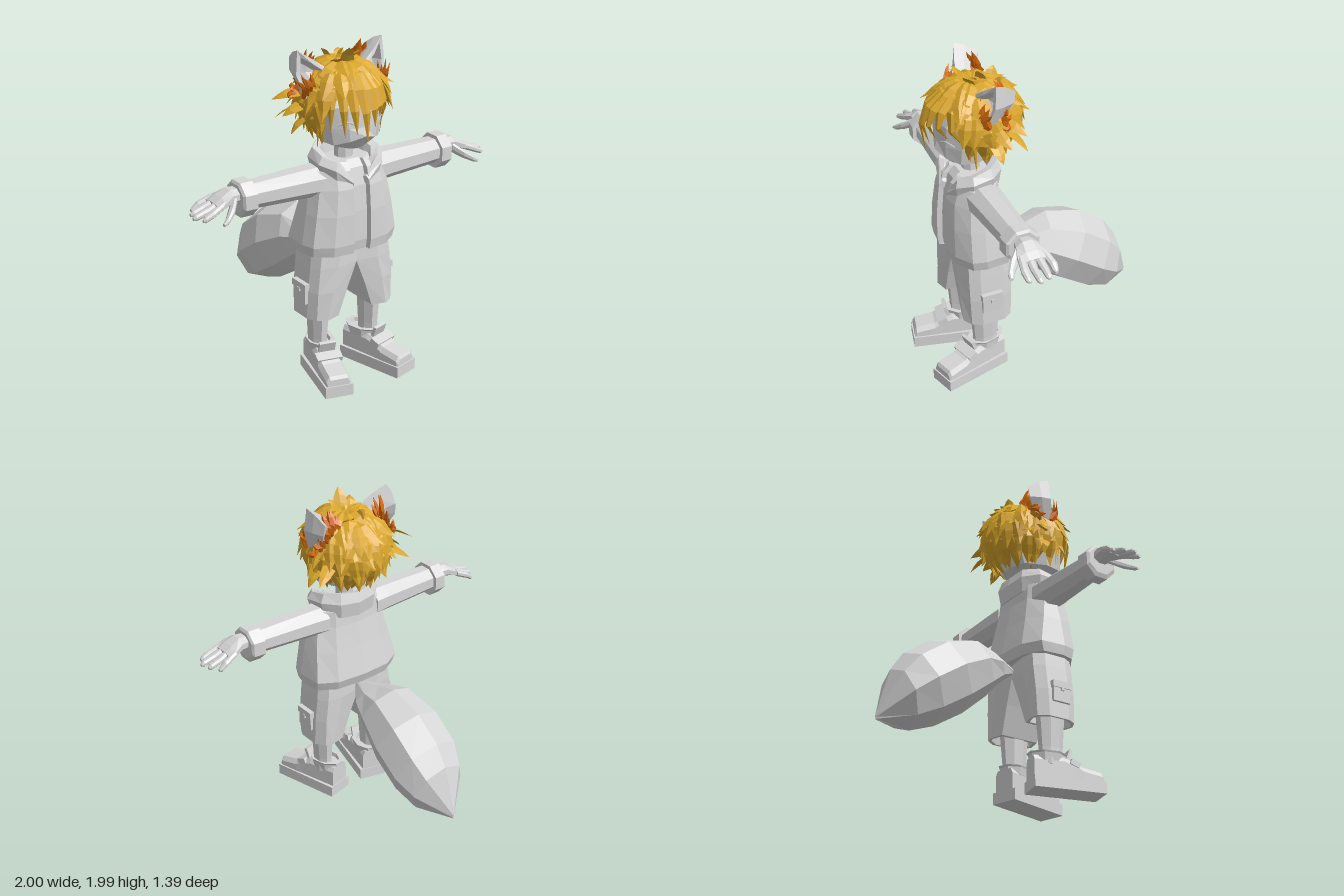
import * as THREE from 'three';
import { mergeGeometries } from 'three/addons/utils/BufferGeometryUtils.js';

const V = (x, y, z) => new THREE.Vector3(x, y, z);

// Flat-shaded skin over rings of [x,y,z] points, capped at both ends and turned outward.
function loft(rings) {
  const tris = [], n = rings[0].length;
  const mid = r => r.reduce((a, p) => a.map((v, i) => v + p[i] / n), [0, 0, 0]);
  for (let i = 0; i < rings.length - 1; i++) for (let j = 0; j < n; j++) {
    const k = (j + 1) % n, a = rings[i], b = rings[i + 1];
    tris.push([a[j], b[j], a[k]], [a[k], b[j], b[k]]);
  }
  const first = rings[0], last = rings[rings.length - 1], m0 = mid(first), m1 = mid(last);
  for (let j = 0; j < n; j++) {
    const k = (j + 1) % n;
    tris.push([m0, first[j], first[k]], [m1, last[k], last[j]]);
  }
  let vol = 0;
  for (const [a, b, c] of tris) {
    vol += V(...a).sub(V(...m0)).dot(V(...b).sub(V(...m0)).cross(V(...c).sub(V(...m0))));
  }
  const pos = tris.flatMap(([a, b, c]) => vol < 0 ? [...a, ...c, ...b] : [...a, ...b, ...c]);
  const g = new THREE.BufferGeometry();
  g.setAttribute('position', new THREE.Float32BufferAttribute(pos, 3));
  g.computeVertexNormals();
  return g;
}

// Polygon ring around c spanned by the vectors u and v
function ring(c, u, v, n = 8, turn = Math.PI / 8) {
  return Array.from({ length: n }, (_, i) => {
    const t = turn + i * 2 * Math.PI / n, co = Math.cos(t), si = Math.sin(t);
    return [0, 1, 2].map(k => c[k] + u[k] * co + v[k] * si);
  });
}
// Half outline completed by mirroring in x
const mirrorRing = half => [...half, ...half.slice(1, -1).reverse().map(([x, y, z]) => [-x, y, z])];

export function createModel() {
  const root = new THREE.Group();
  root.name = 'figure';
  const mat = (name, color, side = THREE.FrontSide) => new THREE.MeshStandardMaterial({ name, color, side });
  const grey = mat('light grey', 0xd6d6d6);
  const gold = mat('golden hair', 0xd9a62b, THREE.DoubleSide);
  const orange = mat('orange fur', 0xd4690c);
  const add = (name, geo, m = grey, parent = root) => {
    const mesh = new THREE.Mesh(geo, m);
    mesh.name = name;
    parent.add(mesh);
    return mesh;
  };
  const box = (name, w, h, d, x, y, z, parent = root) => {
    const b = add(name, new THREE.BoxGeometry(w, h, d), grey, parent);
    b.position.set(x, y, z);
    return b;
  };

  // Jacket with a recessed strip down the front: [y, half width, front z, back z]
  add('jacket', loft([
    [0.81, 0.30, 0.54, 0.17], [0.87, 0.31, 0.55, 0.15], [1.05, 0.28, 0.545, 0.19],
    [1.20, 0.25, 0.53, 0.22], [1.30, 0.24, 0.50, 0.23], [1.34, 0.15, 0.46, 0.26],
  ].map(([y, w, f, b]) => mirrorRing([
    [0, y, f - 0.03], [0.05, y, f - 0.03], [0.056, y, f], [0.6 * w, y, f - 0.015], [w * 0.93, y, f - 0.08],
    [w, y, f - 0.16], [w * 0.96, y, b + 0.08], [0.6 * w, y, b + 0.015], [0, y, b],
  ]))));

  // Folded hood collar, open in a V at the front: [x, z, bottom y, top y]
  const half = [[0.05, 0.52, 1.20, 1.25], [0.15, 0.50, 1.25, 1.36], [0.21, 0.42, 1.28, 1.385],
    [0.20, 0.30, 1.28, 1.41], [0.12, 0.22, 1.26, 1.415], [0, 0.205, 1.25, 1.40]];
  const collar = [...half, ...half.slice(0, -1).reverse().map(([x, ...r]) => [-x, ...r])];
  add('hoodCollar', loft(collar.map(([x, z, b, t]) => {
    const at = (s, y) => [x * s, y, 0.37 + (z - 0.37) * s];
    return [at(0.97, b), at(1.05, b * 0.4 + t * 0.6), at(0.92, t), at(0.72, t - 0.01), at(0.6, b + 0.02)];
  })));
  add('neck', loft([1.28, 1.46].map(y => ring([0, y, 0.35], [0.055, 0, 0], [0, 0, 0.055]))));

  // Head with a slanted jaw: [y, half width, front z, back z, lift of the front point]
  add('head', loft([
    [1.42, 0.09, 0.49, 0.28, 0], [1.46, 0.17, 0.55, 0.20, 0.05], [1.56, 0.19, 0.55, 0.16, 0],
    [1.68, 0.20, 0.545, 0.13, 0], [1.79, 0.15, 0.49, 0.18, 0], [1.85, 0.07, 0.4, 0.26, 0],
  ].map(([y, w, f, b, d]) => mirrorRing([
    [0, y + d, f + d * 0.3], [0.5 * w, y + d * 0.5, f - 0.015], [0.9 * w, y, f - 0.08], [w, y, (f + b) / 2],
    [0.7 * w, y, b + 0.04], [0, y, b],
  ]))));

  for (const s of [1, -1]) {
    const side = s > 0 ? 'left' : 'right';
    const named = n => side + n;

    // Closed eyelid line
    const lid = [[0.065, 1.585, 0.553], [0.11, 1.605, 0.54], [0.155, 1.585, 0.505]].map(([x, y, z]) => V(s * x, y, z));
    add(named('Eyelid'), new THREE.TubeGeometry(new THREE.CatmullRomCurve3(lid), 6, 0.005, 4));

    // Sleeve, cuff and hand
    const along = list => loft(list.map(([x, y, ry, rz, z = 0.355]) =>
      ring([s * x, y, z], [0, ry * 1.08, 0], [0, 0, rz * 1.08])));
    add(named('Sleeve'), along([[0.18, 1.23, 0.09, 0.105], [0.27, 1.235, 0.085, 0.1], [0.66, 1.24, 0.073, 0.08]]));
    add(named('Cuff'), along([[0.64, 1.235, 0.1, 0.104], [0.715, 1.235, 0.1, 0.1], [0.725, 1.24, 0.08, 0.085]]));
    add(named('Palm'), along([[0.70, 1.26, 0.04, 0.05], [0.77, 1.265, 0.04, 0.065],
      [0.83, 1.245, 0.03, 0.085], [0.87, 1.23, 0.02, 0.08]]));
    [[0.265, 0.95], [0.322, 0.985], [0.378, 1.0], [0.432, 0.97]].forEach(([z, tip], i) => add(named('Finger' + (i + 1)),
      along([[0.83, 1.245, 0.02, 0.022, 0.355 + (z - 0.355) * 0.8], [0.91, 1.212, 0.019, 0.021, z],
        [tip - 0.015, 1.192, 0.016, 0.017, z], [tip, 1.187, 0.008, 0.009, z]])));
    add(named('Thumb'), along([[0.75, 1.25, 0.03, 0.03, 0.39], [0.80, 1.21, 0.026, 0.03, 0.445],
      [0.85, 1.18, 0.018, 0.02, 0.485], [0.88, 1.165, 0.009, 0.01, 0.495]]));

    // Wide short leg, hollow at the hem: [y, inner x, outer x, front z, back z]
    add(named('ShortsLeg'), loft([
      [0.47, 0.14, 0.27, 0.48, 0.23], [0.41, 0.14, 0.28, 0.49, 0.225], [0.41, 0.12, 0.295, 0.505, 0.21],
      [0.58, 0.06, 0.29, 0.51, 0.205], [0.73, 0, 0.275, 0.51, 0.20], [0.84, 0, 0.262, 0.505, 0.205],
    ].map(([y, a, b, f, k]) => [[a, f - 0.02], [(a + b) / 2, f], [b - 0.03, f - 0.03], [b, f - 0.09], [b, k + 0.07],
      [b - 0.04, k + 0.01], [(a + b) / 2, k], [a, k + 0.02]].map(([x, z]) => [s * x, y, z]))));
    box(named('Pocket'), 0.035, 0.12, 0.12, s * 0.292, 0.565, 0.36);
    box(named('PocketFlap'), 0.045, 0.04, 0.13, s * 0.293, 0.61, 0.36);
    box(named('PocketButton'), 0.055, 0.025, 0.02, s * 0.292, 0.585, 0.36);

    add(named('Leg'), loft([[0.15, 0.046, 0.068], [0.25, 0.046, 0.072], [0.5, 0.06, 0.09]]
      .map(([y, rx, rz]) => ring([s * 0.184, y, 0.36], [rx * 1.08, 0, 0], [0, 0, rz * 1.08]))));

    // Chunky shoe turned outward
    const shoe = new THREE.Group();
    shoe.name = named('Shoe');
    shoe.position.set(s * 0.187, 0, 0.46);
    shoe.rotation.y = s * 0.255;
    root.add(shoe);
    box('sole', 0.17, 0.07, 0.44, 0, 0.035, 0, shoe);
    add('upper', loft([[-0.215, 0.065, 0.2], [-0.03, 0.07, 0.2], [0.04, 0.072, 0.175], [0.085, 0.075, 0.15], [0.2, 0.075, 0.13],
      [0.212, 0.07, 0.11]].map(([z, w, t]) => [[-w, 0.06, z], [w, 0.06, z], [w, t - 0.03, z], [w * 0.75, t, z],
      [-w * 0.75, t, z], [-w, t - 0.03, z]])), grey, shoe);
    box('strap', 0.155, 0.035, 0.06, 0, 0.165, 0.035, shoe).rotation.x = 0.4;
    const tongue = box('tongue', 0.1, 0.08, 0.02, 0, 0.215, 0.005, shoe);
    tongue.rotation.x = 0.35;
    add('ankleCuff', loft([[0.17, 0.07, 0.1], [0.215, 0.076, 0.105], [0.225, 0.08, 0.115], [0.225, 0.055, 0.085], [0.19, 0.05, 0.08]]
      .map(([y, w, d]) => ring([0, y, -0.112], [w * 1.08, 0, 0], [0, 0, d * 1.08]))), grey, shoe);
  }

  // Bushy tail: [top z, top y, bottom z, bottom y, half width]
  add('tail', loft([[0.22, 0.79, 0.22, 0.75, 0.02], [0.03, 0.84, 0.12, 0.67, 0.13], [-0.13, 0.89, 0.03, 0.57, 0.18],
    [-0.36, 0.83, -0.13, 0.43, 0.228], [-0.53, 0.71, -0.32, 0.31, 0.228], [-0.61, 0.59, -0.48, 0.25, 0.18], [-0.695, 0.3, -0.69, 0.27, 0.004]]
    .map(([tz, ty, bz, by, w]) => ring([0, (ty + by) / 2, (tz + bz) / 2], [w, 0, 0], [0, (ty - by) / 2, (tz - bz) / 2], 8, 0))));

  // Tapered lock of hair with a diamond section, lying around the head centre
  const centre = V(0, 1.68, 0.33);
  const lock = (pts, w, thick = 0.4) => {
    const curve = new THREE.CatmullRomCurve3(pts);
    return loft([0.55, 1, 0.85, 0.5, 0.02].map((k, i) => {
      const p = curve.getPoint(i / 4), out = p.clone().sub(centre).normalize();
      const across = curve.getTangent(i / 4).cross(out).normalize();
      return ring(p.toArray(), across.multiplyScalar(w * k).toArray(), out.multiplyScalar(w * k * thick).toArray(), 4, 0);
    }));
  };
  const onHead = (az, lat, r) => V(Math.sin(az) * Math.cos(lat) * 0.225 * r, Math.sin(lat) * 0.205 * r,
    Math.cos(az) * Math.cos(lat) * 0.25 * r).add(centre);

  // Scalp cap tilted back to clear the face
  const cap = new THREE.SphereGeometry(1, 16, 8, 0, Math.PI * 2, 0, Math.PI * 0.55).toNonIndexed();
  cap.rotateX(-0.55).scale(0.225, 0.205, 0.25).translate(0, 1.68, 0.33);
  cap.computeVertexNormals();
  add('scalp', cap, gold);

  // Layered locks: [first latitude, last latitude, tip radius, count, azimuth kept clear at the front]
  const D = Math.PI / 180, locks = [];
  [[84, 38, 1.16, 13, 0], [62, 12, 1.24, 17, 35], [38, -14, 1.3, 18, 55], [14, -38, 1.32, 18, 68], [-8, -60, 1.34, 17, 78]]
    .forEach(([l0, l1, tip, n, clear], row) => {
      for (let i = 0; i < n; i++) {
        const az = (clear + (360 - 2 * clear) * (i + 0.5) / n) * D, wob = Math.sin(i * 2.4 + row * 1.7);
        const at = (t, r) => onHead(az + wob * 0.22 * t, (l0 + (l1 + wob * 7 - l0) * t) * D, r);
        locks.push(lock([at(0, 1), at(0.35, 1.08), at(0.7, 1.12), at(1, tip + wob * 0.06)], 0.055));
      }
    });
  add('hairLayers', mergeGeometries(locks), gold);

  // Fringe: [middle x, tip x, tip y, width]
  add('fringe', mergeGeometries([[-0.05, -0.02, 1.49, 0.05], [-0.1, -0.075, 1.54, 0.05], [-0.14, -0.125, 1.52, 0.045],
    [0.0, 0.03, 1.57, 0.05], [0.05, 0.075, 1.62, 0.05], [0.1, 0.13, 1.63, 0.045], [0.15, 0.18, 1.6, 0.045], [-0.18, -0.175, 1.54, 0.04],
    [0.19, 0.2, 1.5, 0.04], [-0.2, -0.2, 1.47, 0.04], [0.215, 0.215, 1.44, 0.04], [-0.215, -0.215, 1.44, 0.04]]
    .map(([m, x, y, w]) => lock([V(m * 0.2, 1.87, 0.4), V(m * 0.7, 1.84, 0.53 - m * m * 3),
      V(m, 1.72, 0.63 - m * m * 4.5), V(x, y, 0.61 - x * x * 4.5)], w))), gold);

  // Loose crown tufts and side spikes: [root, tip]
  const tufts = [[[0, 1.85, 0.36], [-0.03, 1.99, 0.44]], [[0.02, 1.85, 0.34], [0.07, 1.95, 0.4]], [[-0.03, 1.85, 0.33], [-0.1, 1.93, 0.42]],
    [[0, 1.85, 0.28], [0.03, 1.95, 0.3]], [[0, 1.84, 0.24], [-0.04, 1.93, 0.18]], [[0.05, 1.84, 0.25], [0.09, 1.91, 0.16]]];
  for (const s of [1, -1]) {
    tufts.push([[s * 0.18, 1.74, 0.28], [s * 0.36, 1.68, 0.16]], [[s * 0.19, 1.68, 0.3], [s * 0.34, 1.6, 0.24]],
      [[s * 0.19, 1.62, 0.3], [s * 0.31, 1.5, 0.28]], [[s * 0.17, 1.66, 0.22], [s * 0.33, 1.56, 0.14]]);
  }
  add('tufts', mergeGeometries(tufts.map(([a, b]) => {
    const p = V(...a), q = V(...b), out = p.clone().sub(centre).normalize().multiplyScalar(0.025);
    return lock([p, p.clone().lerp(q, 0.5).add(out), q], 0.04);
  })), gold);

  // Pointed ears: a rim around a hollow, with orange fur behind and at the root
  for (const s of [1, -1]) {
    const side = s > 0 ? 'left' : 'right';
    const edge = [[0.11, 1.86, 0.37], [0.2, 1.925, 0.35], [0.287, 1.985, 0.31], [0.30, 1.85, 0.32], [0.26, 1.72, 0.36], [0.17, 1.77, 0.38]];
    const shrink = (k, dz) => edge.map(([x, y, z]) => [s * (0.22 + (x - 0.22) * k), 1.84 + (y - 1.84) * k, z + dz]);
    add(side + 'Ear', loft([shrink(0.5, -0.13), shrink(0.85, -0.06), shrink(1, 0), shrink(0.72, 0.005), shrink(0.45, -0.06)]));
    const fur = [];
    for (let i = 0; i < 8; i++) {
      const t = i / 7, tip = V(s * (0.13 + 0.19 * t), 1.92 + 0.06 * Math.sin(t * 4.5) - 0.14 * t * t, 0.25 + 0.02 * (i % 2));
      const base = V(s * (0.15 + 0.1 * t), 1.82 - 0.1 * t, 0.26);
      fur.push(lock([base, base.clone().lerp(tip, 0.5).add(V(0, 0, -0.03)), tip], 0.035, 0.6));
    }
    for (let i = 0; i < 6; i++) {
      const t = i / 5;
      fur.push(lock([V(s * (0.17 + 0.1 * t), 1.77 - 0.05 * t, 0.34), V(s * (0.18 + 0.1 * t), 1.8 - 0.02 * t, 0.37),
        V(s * (0.17 + 0.15 * t), 1.86 - 0.03 * (i % 2), 0.35)], 0.026, 0.6));
    }
    add(side + 'EarFur', mergeGeometries(fur), orange);
  }
  return root;
}
